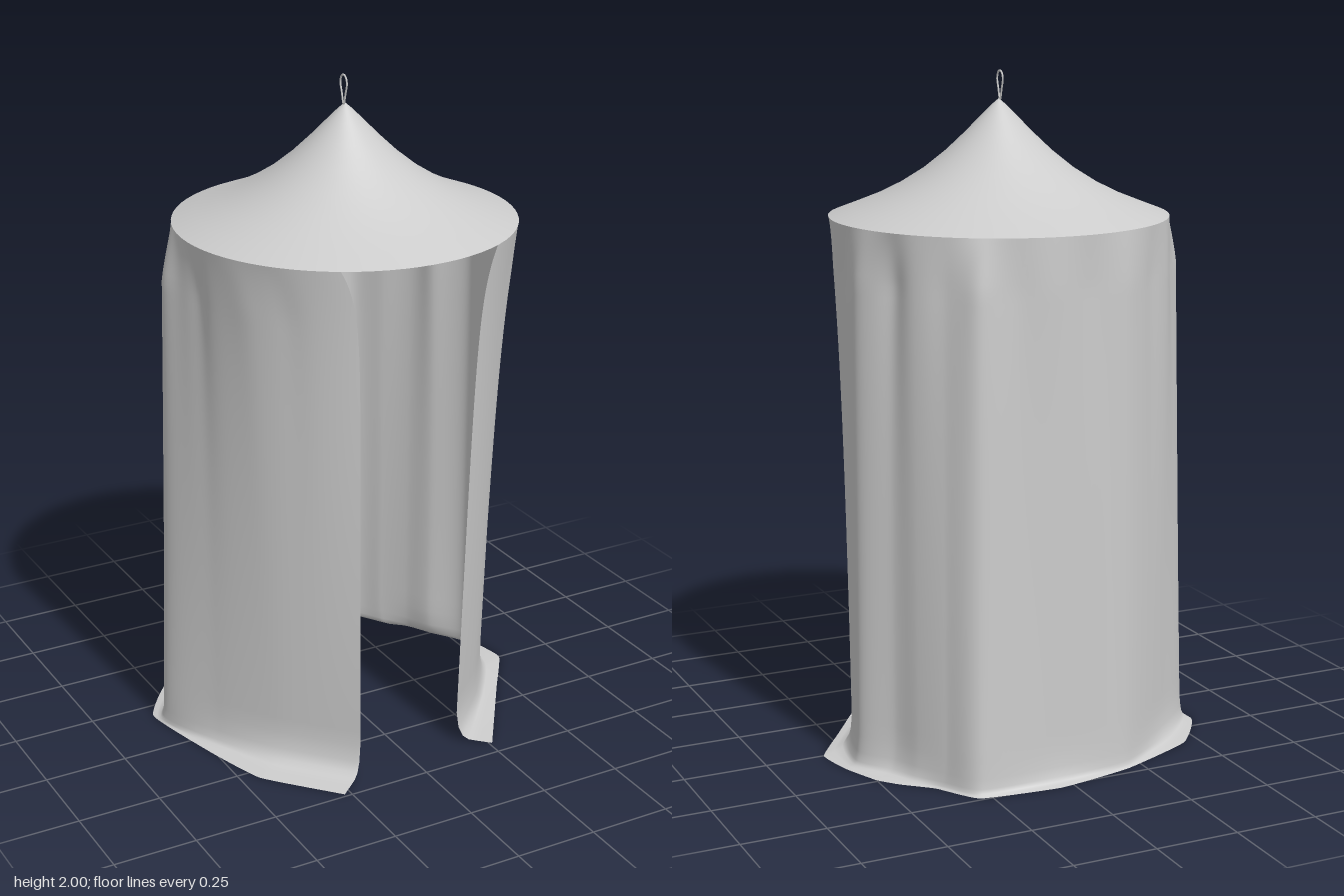
import * as THREE from 'three';

const CX = -0.008, CZ = 0.012, TOP = 1.583, RADIUS = 0.4975;

// Open floor path as [x, z] points, from the left door edge round the back to the right one
const path = (pts, tension) =>
  new THREE.CatmullRomCurve3(pts.map(([x, z]) => new THREE.Vector3(x, 0, z)), false, 'catmullrom', tension);

const wallPath = path([
  [0.17, 0.388], [0.33, 0.235], [0.455, 0.06], [0.505, -0.12], [0.43, -0.225],
  [0.395, -0.305], [0.345, -0.385], [0.27, -0.475], [0.03, -0.475], [-0.20, -0.455],
  [-0.405, -0.305], [-0.553, -0.14], [-0.465, 0.06], [-0.35, 0.23], [-0.18, 0.42],
], 0.4);
const hemPath = path([
  [0.26, 0.45], [0.46, 0.16], [0.57, 0.0], [0.55, -0.12], [0.50, -0.24],
  [0.45, -0.30], [0.37, -0.37], [0.285, -0.49], [0.04, -0.517], [-0.20, -0.47],
  [-0.45, -0.36], [-0.572, -0.19], [-0.51, 0.09], [-0.445, 0.29], [-0.27, 0.49],
], 0.2);

// Hanging folds: [angle in degrees, depth, width in degrees]
const folds = [
  [36, 0.005, 5], [22, -0.008, 4], [11, 0.005, 5], [-1, -0.012, 5], [-15, 0.018, 6], [-29, -0.025, 5],
  [-48, -0.008, 5], [-60, 0.02, 5], [-72, -0.008, 5], [-84, 0.006, 6], [-97, -0.008, 5],
  [-112, 0.01, 6], [-128, -0.01, 5], [-141, 0.006, 5], [-152, -0.008, 5], [-167, 0.034, 6],
  [-185, -0.015, 5], [-209, 0.006, 6], [-224, -0.006, 5],
];
const foldAt = (deg) => folds.reduce((sum, [a, d, w]) => sum + d * Math.exp(-(((deg - a) / w) ** 2)), 0);
const angleOf = (p) => THREE.MathUtils.radToDeg(Math.atan2(p.z - CZ, p.x - CX));

function curtainGeometry() {
  const cols = 224, wallRows = 40;
  const hemRows = [[0.06, 0.05], [0.18, 0.022], [0.35, 0.01], [0.65, 0.006], [1, 0.002]];
  const rows = wallRows + hemRows.length;
  const pos = [], index = [];
  const a0 = angleOf(wallPath.getPoint(0)), a1 = angleOf(wallPath.getPoint(1)) - 360;
  for (let i = 0; i <= cols; i++) {
    const u = i / cols;
    const w = wallPath.getPoint(u), h = hemPath.getPoint(u);
    let deg = angleOf(w);
    if (u > 0.5 && deg > 0) deg -= 360;
    const fold = foldAt(deg);
    for (let j = 0; j <= wallRows; j++) {
      const s = (j / wallRows) ** 1.3;
      // the doorway is wider right under the brim, then closes quickly
      const gape = 6 * Math.exp(-14 * s);
      const rad = THREE.MathUtils.degToRad(THREE.MathUtils.mapLinear(deg, a0, a1, 66.5 - gape, -246 + gape));
      const blend = 0.32 * (1 - Math.exp(-6 * s)) + s * 0.68;
      const r = RADIUS - 0.001 + fold * Math.min(1, s * 10) * (1 - s);
      pos.push(
        THREE.MathUtils.lerp(CX + r * Math.cos(rad), w.x, blend),
        THREE.MathUtils.lerp(TOP, 0.1, s),
        THREE.MathUtils.lerp(CZ + r * Math.sin(rad), w.z, blend),
      );
    }
    // hem spreading out over the floor
    for (const [t, y] of hemRows) {
      pos.push(THREE.MathUtils.lerp(w.x, h.x, t), y, THREE.MathUtils.lerp(w.z, h.z, t));
    }
  }
  const n = rows + 1;
  for (let i = 0; i < cols; i++) {
    for (let j = 0; j < rows; j++) {
      const a = i * n + j, b = a + n;
      index.push(a, b, a + 1, b, b + 1, a + 1);
    }
  }
  const geo = new THREE.BufferGeometry();
  geo.setAttribute('position', new THREE.Float32BufferAttribute(pos, 3));
  geo.setIndex(index);
  geo.computeVertexNormals();
  return geo;
}

export function createModel() {
  const model = new THREE.Group();
  model.name = 'hangingCanopy';
  const cloth = new THREE.MeshStandardMaterial({ color: 0xcccccc, side: THREE.DoubleSide });
  cloth.name = 'paleGreyCloth';
  const add = (name, geo) => {
    const mesh = new THREE.Mesh(geo, cloth);
    mesh.name = name;
    model.add(mesh);
    return mesh;
  };

  // Concave pointed roof
  const profile = [
    [RADIUS, TOP], [0.43, 1.609], [0.36, 1.637], [0.29, 1.672], [0.22, 1.716],
    [0.155, 1.768], [0.10, 1.82], [0.05, 1.871], [0.02, 1.901], [0, 1.918],
  ].map(([r, y]) => new THREE.Vector2(r, y));
  add('roof', new THREE.LatheGeometry(profile, 72)).position.set(CX, 0, CZ);

  // Draped curtain, open at the front
  add('curtain', curtainGeometry());

  // Teardrop hanging loop
  const loop = new THREE.CatmullRomCurve3([
    [1.912, 0], [1.945, 0.011], [1.975, 0.019], [1.992, 0.012], [1.997, 0],
    [1.992, -0.012], [1.975, -0.019], [1.945, -0.011],
  ].map(([y, z]) => new THREE.Vector3(CX - 0.004, y, CZ + z)), true);
  add('hangingLoop', new THREE.TubeGeometry(loop, 40, 0.003, 6, true));

  return model;
}
